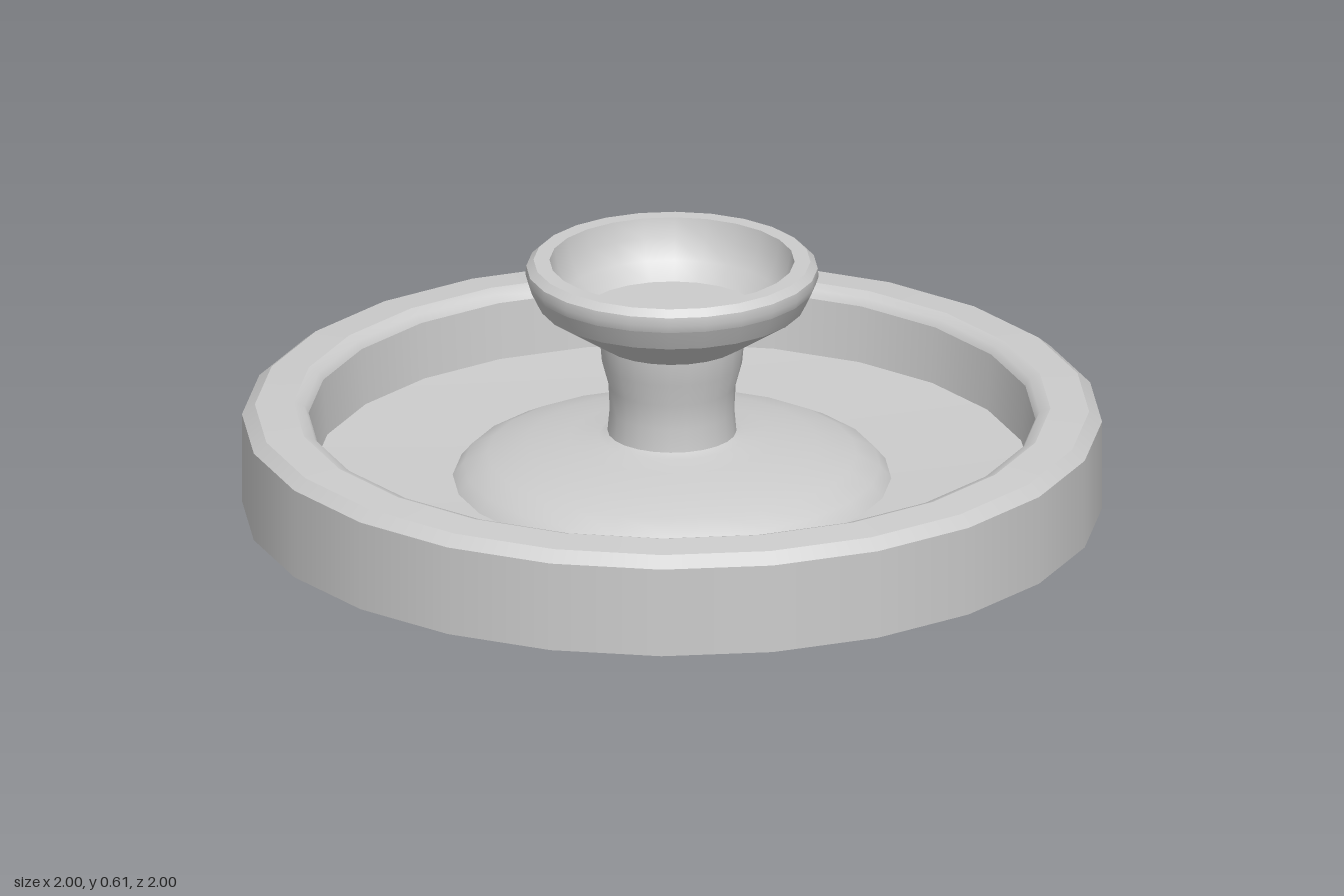
import * as THREE from 'three';

const SIDES = 24;
const material = new THREE.MeshStandardMaterial({ color: 0xcccccc });

// Each band is a smooth [radius, height] profile; edges between bands stay sharp.
function turned(name, bands) {
  const group = new THREE.Group();
  group.name = name;
  bands.forEach((band, i) => {
    const points = band.map(([r, y]) => new THREE.Vector2(r, y));
    const mesh = new THREE.Mesh(new THREE.LatheGeometry(points, SIDES), material);
    mesh.name = `${name}Band${i + 1}`;
    group.add(mesh);
  });
  return group;
}

export function createModel() {
  const model = new THREE.Group();
  model.name = 'dishWithPedestalCup';

  // Round tray: underside, outer wall, bevelled rim, inner wall, slightly dished floor
  model.add(turned('tray', [
    [[0, 0], [1, 0]],
    [[1, 0], [1, 0.215]],
    [[1, 0.215], [0.97, 0.24]],
    [[0.97, 0.24], [0.88, 0.247]],
    [[0.88, 0.247], [0.855, 0.238], [0.845, 0.22]],
    [[0.845, 0.22], [0.835, 0.085]],
    [[0.835, 0.085], [0.68, 0.076], [0.51, 0.07]],
  ]));

  // Domed foot flowing up into the stem
  model.add(turned('domedFoot', [
    [[0.51, 0.07], [0.485, 0.1], [0.43, 0.128], [0.34, 0.152], [0.24, 0.167], [0.17, 0.175], [0.15, 0.185]],
  ]));
  model.add(turned('stem', [
    [[0.15, 0.185], [0.145, 0.24], [0.148, 0.3], [0.163, 0.355], [0.168, 0.41]],
  ]));

  // Flared cup with a thick lip and a hollow bowl
  model.add(turned('cup', [
    [[0.168, 0.41], [0.31, 0.502]],
    [[0.31, 0.502], [0.322, 0.525], [0.335, 0.552]],
    [[0.335, 0.552], [0.341, 0.57], [0.339, 0.59]],
    [[0.339, 0.59], [0.322, 0.606]],
    [[0.322, 0.606], [0.285, 0.606]],
    [[0.285, 0.606], [0.276, 0.56], [0.252, 0.512], [0.21, 0.475]],
    [[0.21, 0.475], [0, 0.475]],
  ]));

  return model;
}
